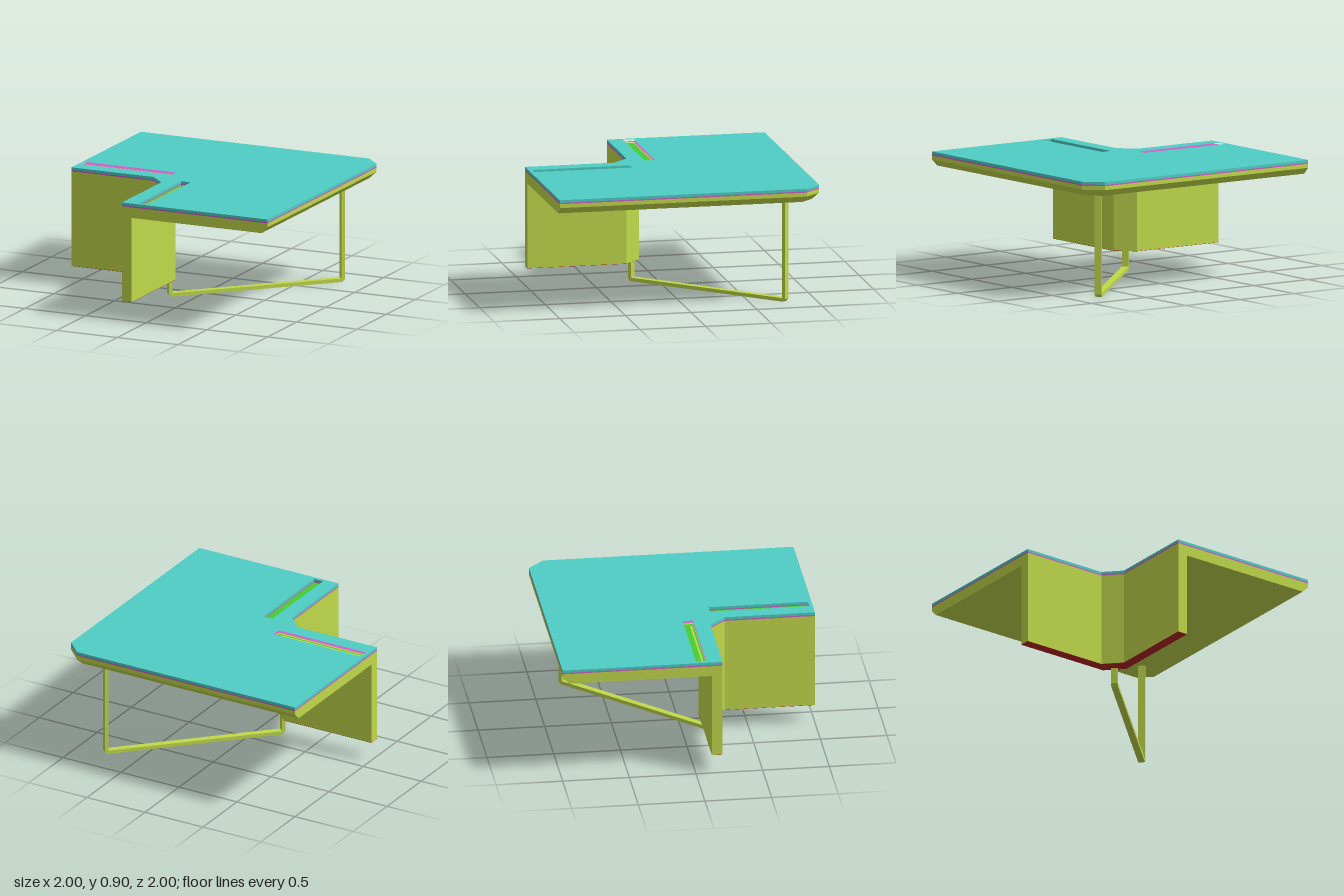
import * as THREE from 'three';

const paint = (color) => new THREE.MeshStandardMaterial({ color, flatShading: true });

// Plan outline given as [x, z] corners
const path = (Type, pts) => new Type(pts.map(([x, z]) => new THREE.Vector2(x, -z)));

// Horizontal plate from y0 to y1 with optional holes
function plate(pts, y0, y1, holes = []) {
  const shape = path(THREE.Shape, pts);
  holes.forEach((h) => shape.holes.push(path(THREE.Path, h)));
  const geo = new THREE.ExtrudeGeometry(shape, { depth: y1 - y0, bevelEnabled: false });
  return geo.rotateX(-Math.PI / 2).translate(0, y0, 0);
}

const rect = (x0, z0, x1, z1) => [[x0, z0], [x1, z0], [x1, z1], [x0, z1]];

// Reflection across the diagonal: the table is symmetric about it
const mirror = (pts) => pts.map(([x, z]) => [-z, -x]);

export function createModel() {
  const group = new THREE.Group();
  const olive = paint(0xc0d94a);
  const teal = paint(0x4ecdc4);
  const magenta = paint(0xd060c8);
  const green = paint(0x48cc30);
  const red = paint(0xb82626);
  const add = (name, geo, mat) => {
    const mesh = new THREE.Mesh(geo, mat);
    mesh.name = name;
    group.add(mesh);
  };

  // L-shaped plan with clipped corners
  const outline = [
    [-1, -1], [0.88, -1], [1, -0.88], [1, 1],
    [-0.2, 1], [-0.2, 0.32], [-0.32, 0.2], [-1, 0.2],
  ];
  const slot = rect(-0.972, 0.004, -0.228, 0.082);
  const slit = rect(-0.942, 0.054, -0.258, 0.068);
  const slots = [slot, mirror(slot)];
  const slits = [slit, mirror(slit)];

  // Layered top
  add('topSurface', plate(outline, 0.88, 0.9, slots), teal);
  add('topInlay', plate(outline, 0.87, 0.88, slots), magenta);
  add('topCore', plate(outline, 0.84, 0.87, slits), olive);

  // Underside, bevelled along the back and right edges
  const under = plate(outline, 0.79, 0.84);
  const p = under.attributes.position;
  const inset = (v) => (v > 0.99 ? 0.95 : v > 0.87 ? 0.86 : v);
  for (let i = 0; i < p.count; i++) {
    if (p.getY(i) > 0.8) continue;
    p.setX(i, inset(p.getX(i)));
    p.setZ(i, -inset(-p.getZ(i)));
  }
  // Restore the square front and left ends
  for (let i = 0; i < p.count; i++) {
    if (p.getZ(i) > 0.99) p.setZ(i, 1);
    if (p.getX(i) < -0.99) p.setX(i, -1);
  }
  under.computeVertexNormals();
  add('topUnderside', under, olive);

  // Cable slot floors, each with a narrow slit
  slots.forEach((s, i) => add('slotFloor', plate(s, 0.869, 0.872, [slits[i]]), green));

  // Angled support panel under the inner corner
  const panel = [
    [-1, 0.12], [-0.245, 0.12], [-0.12, 0.245], [-0.12, 1],
    [-0.2, 1], [-0.2, 0.32], [-0.32, 0.2], [-1, 0.2],
  ];
  add('supportPanel', plate(panel, 0.146, 0.79), olive);
  add('panelBase', plate(panel, 0.144, 0.146), red);

  // Diagonal U-shaped leg frame with clipped lower corners
  const a = -0.286, b = 1.1, t = 0.027, c = 0.02;
  const frame = new THREE.Shape([
    [a + c, 0], [b - c, 0], [b, c], [b, 0.79], [b - t, 0.79],
    [b - t, t], [a + t, t], [a + t, 0.15], [a, 0.15], [a, c],
  ].map(([s, y]) => new THREE.Vector2(s, y)));
  const leg = new THREE.ExtrudeGeometry(frame, { depth: 0.05, bevelEnabled: false });
  add('legFrame', leg.translate(0, 0, -0.025).rotateY(Math.PI / 4), olive);

  return group;
}
